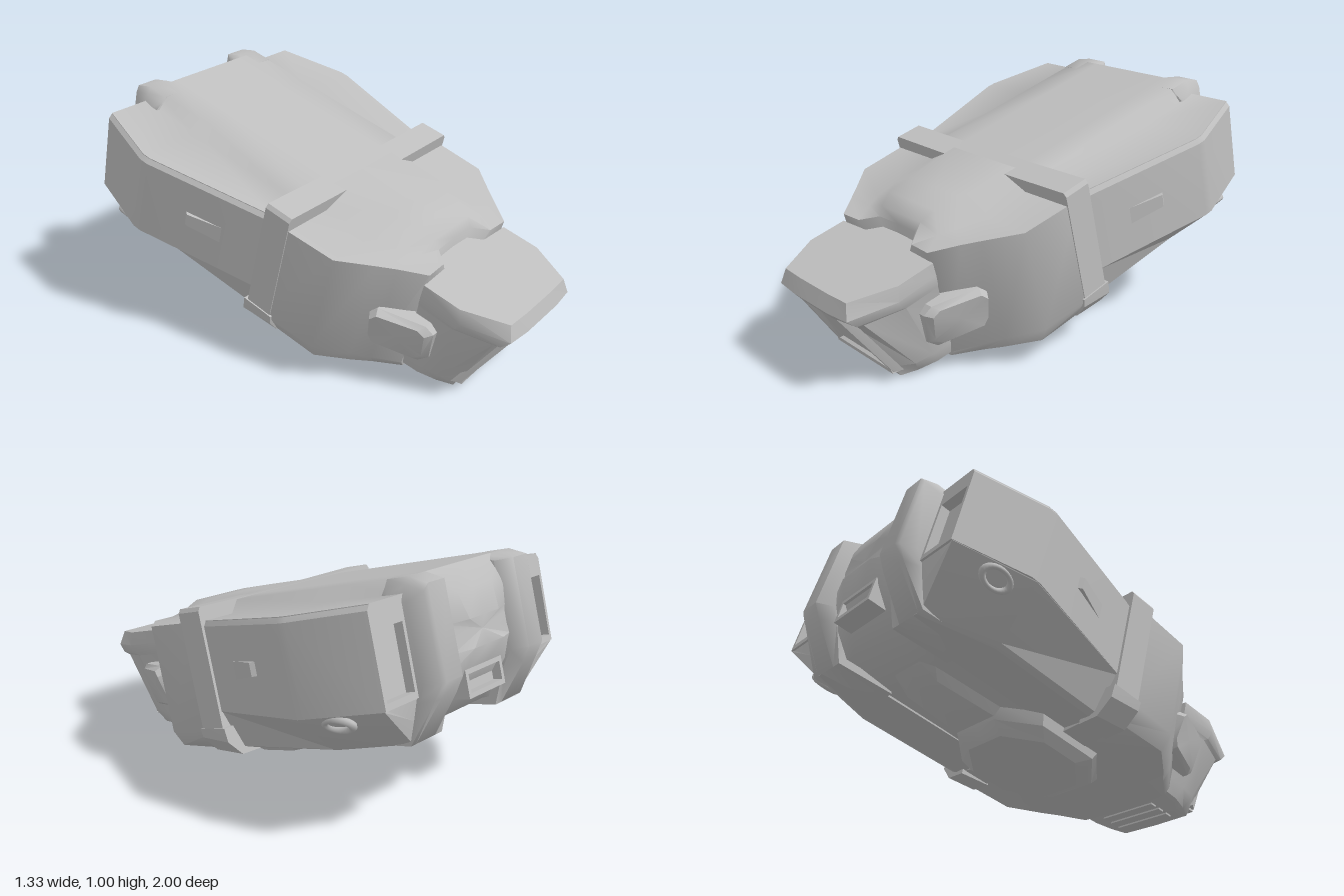
import * as THREE from 'three';
import { toCreasedNormals } from 'three/addons/utils/BufferGeometryUtils.js';

const grey = new THREE.MeshStandardMaterial({ color: 0xbebebe });
grey.name = 'hull grey';

// Closed solid through matching rings of [x, y, z], capped at both ends.
function loft(rings, crease = 0.5) {
  const n = rings[0].length, pos = rings.flat(2), index = [];
  for (let r = 0; r < rings.length - 1; r++) {
    for (let i = 0; i < n; i++) {
      const a = r * n + i, b = r * n + (i + 1) % n;
      index.push(a, b, b + n, a, b + n, a + n);
    }
  }
  [0, rings.length - 1].forEach((r, end) => {
    const c = pos.length / 3;
    for (let k = 0; k < 3; k++) pos.push(rings[r].reduce((s, p) => s + p[k], 0) / n);
    for (let i = 0; i < n; i++) {
      const a = r * n + i, b = r * n + (i + 1) % n;
      if (end) index.push(a, b, c); else index.push(b, a, c);
    }
  });
  // Turn the faces outward when the signed volume is negative.
  const v = (i) => new THREE.Vector3().fromArray(pos, i * 3);
  let volume = 0;
  for (let i = 0; i < index.length; i += 3) {
    volume += v(index[i]).dot(v(index[i + 1]).cross(v(index[i + 2])));
  }
  if (volume < 0) index.reverse();
  const g = new THREE.BufferGeometry();
  g.setAttribute('position', new THREE.Float32BufferAttribute(pos, 3));
  g.setIndex(index);
  return toCreasedNormals(g, crease);
}

// Half outline from centre line to centre line, completed by its mirror image.
const mirrored = (half) => [...half, ...half.slice(1, -1).reverse().map(([x, y, z]) => [-x, y, z])];
const section = (z, half) => mirrored(half.map(([x, y, zz = z]) => [x, y, zz]));
const plan = (y, half) => mirrored(half.map(([x, z]) => [x, y, z]));

export function createModel() {
  const model = new THREE.Group();
  const ship = new THREE.Group();
  ship.name = 'ship';
  ship.rotation.x = THREE.MathUtils.degToRad(15); // nose-down pitch
  model.add(ship);
  const add = (name, geometry) => {
    const m = new THREE.Mesh(geometry, grey);
    m.name = name;
    ship.add(m);
    return m;
  };

  // Forward hull, tapering towards the nose with a raised middle
  add('forwardHull', loft([
    section(-0.08, [[0, .748], [.2, .748], [.31, .694], [.545, .694], [.545, .23], [.49, .15], [.25, .13], [0, .13]]),
    section(0.2, [[0, .75], [.17, .75], [.29, .694], [.53, .694], [.53, .23], [.49, .157], [.25, .134], [0, .134]]),
    section(0.325, [[0, .75], [.15, .75], [.26, .694], [.42, .694], [.42, .22], [.39, .163], [.23, .148], [0, .148]]),
    section(0.39, [[0, .722], [.13, .722], [.23, .694], [.365, .694], [.36, .21], [.33, .166], [.22, .155], [0, .155]]),
    section(0.49, [[0, .69, .415], [.12, .69, .42], [.18, .69, .485], [.285, .69], [.272, .2], [.25, .17], [.2, .167], [0, .167]]),
  ], 0.95));

  // Collar between hull and engines, proud of the hull only on top
  add('collar', loft([-0.145, -0.02].map((z) => section(z, [
    [0, .748], [.24, .748], [.535, .752], [.547, .735], [.546, .23], [.49, .148], [.25, .128], [0, .128]]))));

  // Nose with overhanging brow and sloping face
  add('nose', loft([
    plan(.65, [[0, .845], [.1, .845], [.215, .84], [.305, .66], [.305, .49], [.19, .48], [.13, .4], [0, .4]]),
    plan(.59, [[0, .882], [.12, .882], [.235, .872], [.312, .68], [.305, .49], [.19, .48], [.13, .4], [0, .4]]),
    plan(.55, [[0, .862], [.11, .862], [.24, .842], [.302, .67], [.3, .49], [.19, .48], [.13, .4], [0, .4]]),
    plan(.535, [[0, .838], [.105, .838], [.235, .81], [.295, .65], [.295, .49], [.19, .48], [.13, .4], [0, .4]]),
    plan(.25, [[0, .725], [.19, .725], [.255, .66], [.272, .58], [.274, .49], [.19, .48], [.13, .4], [0, .4]]),
    plan(.19, [[0, .71], [.19, .705], [.225, .64], [.25, .56], [.255, .49], [.19, .48], [.13, .4], [0, .4]]),
    plan(.172, [[0, .665], [.17, .665], [.2, .61], [.21, .55], [.21, .49], [.19, .48], [.13, .4], [0, .4]]),
  ], 0.6));
  add('faceSill', loft([
    section(.7, [[0, .265], [.19, .265], [.2, .22], [0, .22]]),
    section(.739, [[0, .245], [.19, .245], [.195, .225], [0, .225]]),
  ], 0.8));
  for (let i = 0; i < 3; i++) {
    add('chinRib', new THREE.BoxGeometry(.3, .012, .03)).position.set(0, .17, .53 + i * .05);
  }

  // Smooth deck: raised spine falling to the pod tops on both sides
  const deck = (z, x) => section(z, [[0, .746], [.2, .746], [.33, .744], [.372, .692], [x - .014, .692], [x - .014, .6], [0, .6]]);
  add('deck', loft([deck(-.13, .53), deck(-.69, .667), deck(-.73, .667), deck(-1.035, .575)], 1.0));

  // Central engine body with a bulging tail
  add('engineBody', loft([
    section(-0.1, [[0, .73], [.2, .73], [.3, .73], [.36, .68], [.36, .3], [.3, .16], [.15, .14], [0, .14]]),
    section(-0.7, [[0, .73], [.2, .73], [.3, .73], [.36, .68], [.36, .3], [.3, .165], [.15, .155], [0, .155]]),
    section(-1.035, [[0, .745], [.2, .745], [.3, .744], [.36, .68], [.36, .32], [.3, .16, -.95], [.15, .18, -.93], [0, .18, -.93]]),
    section(-1.085, [[0, .65], [.12, .65], [.24, .65, -1.07], [.28, .62, -1.06], [.28, .4, -1.05], [.25, .33, -1.03], [.12, .33, -1.05], [0, .33, -1.05]]),
    section(-1.108, [[0, .54], [.1, .54], [.2, .54, -1.075], [.22, .52, -1.07], [.22, .47, -1.07], [.2, .43, -1.075], [.1, .43], [0, .43]]),
  ], 1.0));
  const vent = (z, x, h) => section(z, [[0, .3 + h], [x, .3 + h], [x, .3 - h], [0, .3 - h]]);
  add('tailVent', loft([vent(-.9, .125, .055), vent(-1.065, .125, .055), vent(-1.065, .108, .036), vent(-1.025, .108, .036)]));

  // Belly tank and keel
  const octagon = (y, x, z0, z1, c) => plan(y, [[0, z1], [x * .45, z1], [x, z1 - c], [x, z0 + c], [x * .45, z0], [0, z0]]);
  add('bellyTank', loft([
    octagon(.17, .275, -.43, .23, .16), octagon(.1, .265, -.385, .175, .14), octagon(.06, .23, -.325, .11, .13),
  ]));
  const keel = (z, x, low) => section(z, [[0, .25], [x + .1, .25], [x, low], [0, low]]);
  add('keel', loft([keel(-.3, .13, .11), keel(-.67, .1, .117), keel(-.8, .08, .18)], 0.8));

  for (const s of [1, -1]) {
    const side = (z, points) => points.map(([x, y, zz = z]) => [s * x, y, zz]);

    // Engine pod with a recessed outlet
    const pod = (z, x) => side(z, [[.3, .689], [x - .014, .689], [x, .67], [x, .32], [.3, .32]]);
    const outlet = (z) => side(z, [[.4, .672], [.54, .672], [.56, .655], [.56, .345], [.4, .345]]);
    add('enginePod', loft([
      pod(-.13, .53), pod(-.69, .667), pod(-.73, .667), pod(-1.035, .575), outlet(-1.035), outlet(-.995),
    ], 0.35));

    // Lower fairing under the pod, narrowing towards the tail
    const fairing = (z, x, low, zLow = z) =>
      side(z, [[.22, .33], [x, .33], [x, .318], [low, .15, zLow], [low - .03, .138, zLow], [.22, .15, zLow]]);
    add('podFairing', loft([
      fairing(-.13, .53, .46), fairing(-.7, .665, .47, -.66), fairing(-1.03, .575, .375, -.96),
    ], 0.4));

    // Block at the lower corner of the collar
    add('collarBlock', loft([
      side(-.16, [[.38, .118], [.48, .122], [.545, .19], [.552, .25], [.38, .25]]),
      side(-.01, [[.38, .135], [.485, .14], [.545, .21], [.552, .25], [.38, .25]]),
    ]));

    // Port on the fairing slope
    const port = add('fairingPort', new THREE.TorusGeometry(.06, .016, 8, 24));
    port.position.set(s * .59, .28, -.825);
    port.scale.set(1, .65, 1);
    port.rotation.set(Math.PI / 4, s * Math.PI / 2, 0, 'YXZ');

    // Small wedge on the pod flank
    add('flankWedge', loft([
      side(-.28, [[.52, .53], [.562, .53], [.562, .45], [.52, .45]]),
      side(-.47, [[.55, .53], [.63, .53], [.63, .475], [.55, .475]]),
      side(-.49, [[.55, .53], [.615, .53], [.615, .475], [.55, .475]]),
    ]));

    // Tail fin beside the tail bulge
    const fin = (x, d, drop) => [[-.95, .745 - drop], [-1.05 + d, .745 - drop], [-1.124 + d, .715 - drop],
      [-1.129 + d, .36], [-1.09 + d, .3], [-.96, .14], [-.7, .15]].map(([z, y]) => [s * x, y, z]);
    add('tailFin', loft([fin(.19, .06, 0), fin(.235, 0, 0), fin(.335, 0, 0), fin(.355, .01, .025), fin(.385, .07, .055)], 1.0));

    // Cheek pod, its lower edge cut inward
    const cheek = (x0, t, cut) => [[.35, .34], [.35, .46], [.375, .49], [.56, .495], [.595, .47], [.595, .335], [.56, .3], [.375, .305]]
      .map(([z, y]) => [s * (x0 - (z - .35) * .34 - (y < .35 ? cut : 0)), .4 + (y - .4) * t, .475 + (z - .475) * t]);
    add('cheekPod', loft([cheek(.27, 1.04, 0), cheek(.40, 1.04, .03), cheek(.43, .86, .03)], 0.6));

    // Ramped window pillars on the face
    const ramp = (x, y, z, w) => side(z, [[x - w, y, z - .03], [x - .012, y, z], [x + .012, y, z], [x + w, y, z - .035]]);
    add('facePillar', loft([ramp(.115, .552, .86, .03), ramp(.19, .235, .736, .035)], 0.9));
  }
  return model;
}
